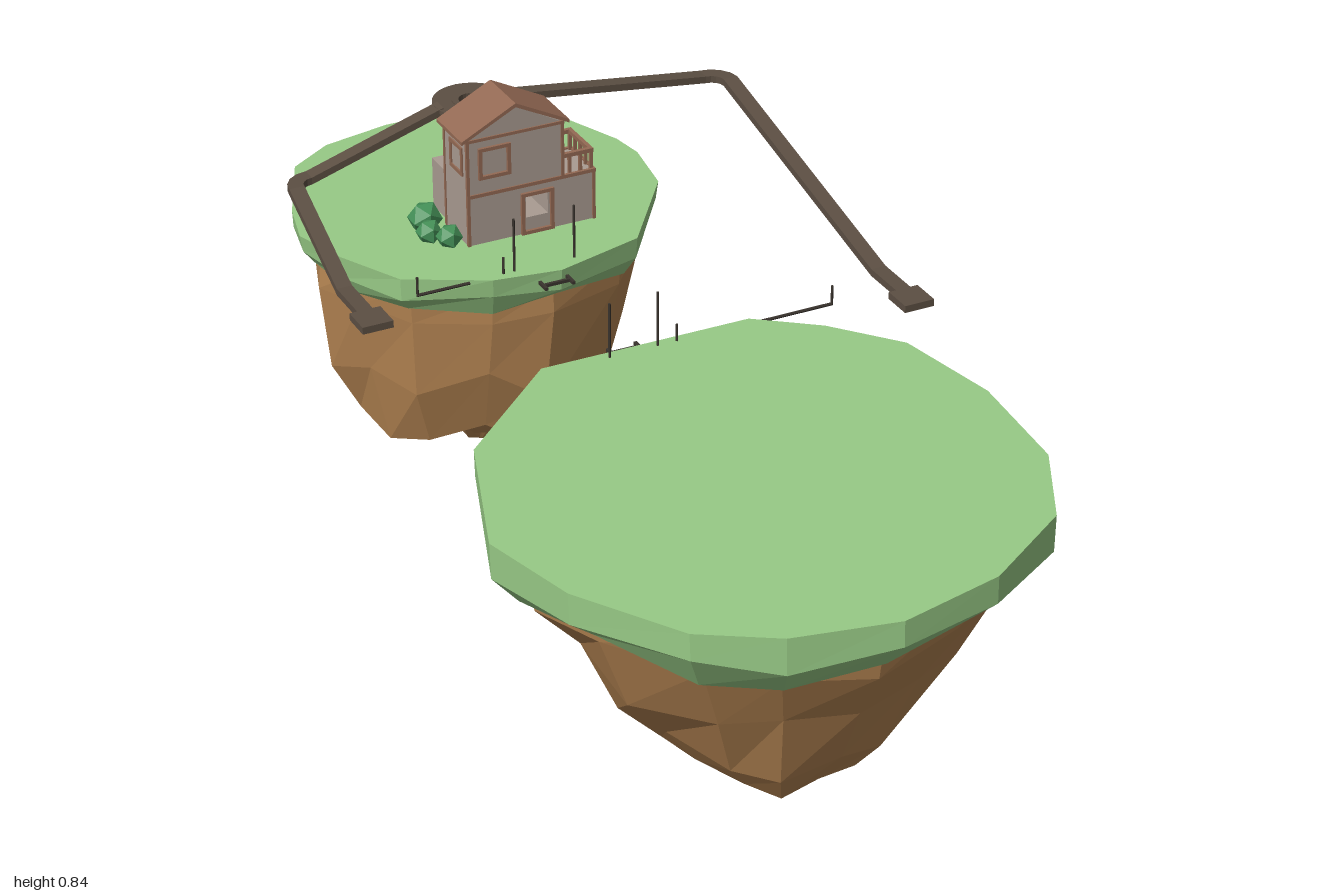
import * as THREE from 'three';

const mat = (color, flatShading = true) => new THREE.MeshStandardMaterial({ color, flatShading });
const GRASS = mat(0x98ca86), ROCK = mat(0xb48452), WALL = mat(0xaa9c92), WOOD = mat(0x946a54);
const METAL = mat(0x5c4f43), POST = mat(0x3a342e), LEAF = mat(0x459158);
const GROUND = 0.57;

function add(parent, name, geometry, material, x = 0, y = 0, z = 0) {
  const mesh = new THREE.Mesh(geometry, material);
  mesh.name = name;
  mesh.position.set(x, y, z);
  parent.add(mesh);
  return mesh;
}

// Box given by its two opposite corners
function block(parent, name, material, [x0, y0, z0], [x1, y1, z1]) {
  return add(parent, name, new THREE.BoxGeometry(x1 - x0, y1 - y0, z1 - z0), material,
    (x0 + x1) / 2, (y0 + y1) / 2, (z0 + z1) / 2);
}

// Closed faceted skin over cross-sections with equal point counts
function loft(rings) {
  const out = [];
  const tri = (...pts) => pts.forEach(p => out.push(p.x, p.y, p.z));
  const middle = ring => ring.reduce((s, p) => s.add(p), new THREE.Vector3()).divideScalar(ring.length);
  const first = rings[0], last = rings[rings.length - 1], n = first.length;
  const c0 = middle(first), c1 = middle(last);
  for (let i = 0; i < n; i++) {
    const j = (i + 1) % n;
    tri(c0, first[j], first[i]);
    tri(c1, last[i], last[j]);
    for (let r = 0; r + 1 < rings.length; r++) {
      const a = rings[r], b = rings[r + 1];
      tri(a[i], a[j], b[j]);
      tri(a[i], b[j], b[i]);
    }
  }
  const g = new THREE.BufferGeometry();
  g.setAttribute('position', new THREE.Float32BufferAttribute(out, 3));
  g.computeVertexNormals();
  return g;
}

function seeded(seed) {
  return () => (seed = (seed * 16807) % 2147483647) / 2147483647 - 0.5;
}

// Floating island; each layer is [y, x scale, z scale, height jitter, width jitter, x shift, z shift, lobe depth]
function island(name, outline, cx, cz, lobes, grassLayers, rockLayers, seed) {
  const group = new THREE.Group();
  group.name = name;
  const rnd = seeded(seed);
  const rings = layers => layers.map(([y, sx, sz, jy = 0, jr = 0, dx = 0, dz = 0, lobe = 0]) =>
    outline.map(([x, z], i) => {
      const k = 1 + jr * rnd() * 2;
      const wave = Math.cos((i / outline.length) * lobes * Math.PI * 2);
      return new THREE.Vector3(cx + dx + (x - cx) * k * sx, y + jy * rnd() - lobe * wave, cz + dz + (z - cz) * k * sz);
    }));
  add(group, 'grass', loft(rings(grassLayers)), GRASS);
  add(group, 'rock', loft(rings(rockLayers)), ROCK);
  return group;
}

// Flat-sectioned chute following a path
function chute(parent, points) {
  const up = new THREE.Vector3(0, 1, 0), P = points.map(p => new THREE.Vector3(...p));
  const rings = P.map((p, i) => {
    const t = P[Math.min(i + 1, P.length - 1)].clone().sub(P[Math.max(i - 1, 0)]).setY(0).normalize();
    const s = t.cross(up);
    return [[-1, 1], [1, 1], [1, -1], [-1, -1]].map(([a, b]) =>
      p.clone().addScaledVector(s, a * 0.015).addScaledVector(up, b * 0.007));
  });
  add(parent, 'chute', loft(rings), METAL);
  const end = P[P.length - 1];
  add(parent, 'chuteEnd', new THREE.BoxGeometry(0.06, 0.014, 0.06), METAL, end.x, end.y, end.z - 0.01);
}

// Horizontal quarter bend from the x direction to +z
function bend(side, x, y, z, r) {
  return [0, 1, 2, 3, 4].map(i => {
    const a = i * Math.PI / 8;
    return [x - side * r + side * r * Math.sin(a), y, z + r - r * Math.cos(a)];
  });
}

function polygon(pts) {
  return new THREE.Shape(pts.map(p => new THREE.Vector2(...p)));
}
function extrude(shape, depth) {
  return new THREE.ExtrudeGeometry(shape, { depth, bevelEnabled: false });
}

// Rectangular frame facing z
function frame(parent, name, x0, y0, x1, y1, z, t = 0.007) {
  const s = polygon([[x0, y0], [x1, y0], [x1, y1], [x0, y1]]);
  s.holes.push(polygon([[x0 + t, y0 + t], [x0 + t, y1 - t], [x1 - t, y1 - t], [x1 - t, y0 + t]]));
  return add(parent, name, extrude(s, 0.006), WOOD, 0, 0, z);
}

function house() {
  const g = new THREE.Group();
  g.name = 'house';
  const F = -0.46, M = -0.56, B = -0.64, FLOOR = 0.672;

  // Ground floor and rear annex, with a window running right through
  const lower = (name, x0, x1, z0, z1) => {
    const s = polygon([[x0, GROUND], [x1, GROUND], [x1, FLOOR], [x0, FLOOR]]);
    s.holes.push(polygon([[-0.017, 0.603], [-0.017, 0.648], [0.028, 0.648], [0.028, 0.603]]));
    add(g, name, extrude(s, z1 - z0), WALL, 0, 0, z0);
  };
  lower('groundFloor', -0.135, 0.125, M, F);
  lower('rearAnnex', -0.127, 0.058, B, M);

  // Upper floor and gabled roof
  add(g, 'upperFloor', extrude(polygon([[-0.135, FLOOR], [0.06, FLOOR], [0.06, 0.785],
    [-0.037, 0.838], [-0.135, 0.785]]), F - M), WALL, 0, 0, M);
  add(g, 'roof', extrude(polygon([[-0.147, 0.783], [-0.037, 0.838], [0.072, 0.783], [0.072, 0.79],
    [-0.037, 0.846], [-0.147, 0.79]]), 0.112), WOOD, 0, 0, M - 0.006);

  // Timber edging
  for (const z of [F, M]) {
    block(g, 'floorBeam', WOOD, [-0.137, FLOOR - 0.004, z - 0.003], [0.127, FLOOR + 0.003, z + 0.003]);
    block(g, 'eaveBeam', WOOD, [-0.138, 0.782, z - 0.003], [0.063, 0.788, z + 0.003]);
    for (const [x, top] of [[-0.134, 0.785], [0.059, 0.785], [0.123, FLOOR]])
      block(g, 'cornerPost', WOOD, [x - 0.003, x === 0.059 ? FLOOR : GROUND, z - 0.003], [x + 0.003, top, z + 0.003]);
  }
  block(g, 'balconyEdge', WOOD, [0.121, FLOOR - 0.004, M], [0.127, FLOOR + 0.003, F]);

  // Windows and door
  frame(g, 'upperWindow', -0.113, 0.704, -0.048, 0.768, F);
  frame(g, 'doorFrame', -0.028, GROUND, 0.039, 0.656, F);
  frame(g, 'rearWindow', -0.024, 0.596, 0.035, 0.655, B - 0.006);
  for (const x of [-0.135, 0.06]) {
    const w = frame(g, 'sideWindow', -0.028, 0.708, 0.028, 0.766, 0);
    w.rotation.y = Math.PI / 2;
    w.position.set(x - 0.003, 0, -0.505);
  }

  // Balcony railing
  const rail = (x, z) => block(g, 'baluster', WOOD, [x - 0.003, FLOOR, z - 0.003], [x + 0.003, 0.71, z + 0.003]);
  for (const x of [0.076, 0.098, 0.12]) { rail(x, F - 0.005); rail(x, M + 0.005); }
  for (let i = 1; i < 4; i++) rail(0.12, F - 0.005 - i * 0.0225);
  for (const z of [F - 0.005, M + 0.005])
    block(g, 'handrail', WOOD, [0.06, 0.708, z - 0.004], [0.124, 0.716, z + 0.004]);
  block(g, 'handrail', WOOD, [0.116, 0.708, M + 0.005], [0.124, 0.716, F - 0.005]);
  return g;
}

// Bridge posts at an island edge; a low rod runs along the ground to the last post
function bridgeEnd(name, z, bracketZ, tall, short, rodStart, rodEnd) {
  const g = new THREE.Group();
  g.name = name;
  const post = (x, y0, y1) => add(g, 'post', new THREE.CylinderGeometry(0.0024, 0.0024, y1 - y0, 6), POST, x, (y0 + y1) / 2, z);
  tall.forEach(x => post(x, 0.55, 0.678));
  [short, rodEnd].forEach(x => post(x, 0.565, 0.604));
  const rod = add(g, 'rod', new THREE.CylinderGeometry(0.003, 0.003, Math.abs(rodEnd - rodStart), 6), POST,
    (rodStart + rodEnd) / 2, GROUND - 0.003, z);
  rod.rotation.z = Math.PI / 2;
  block(g, 'bracketBar', POST, [-0.065, 0.552, bracketZ - 0.003], [-0.01, 0.558, bracketZ + 0.003]);
  for (const x of [-0.065, -0.01])
    block(g, 'bracketArm', POST, [x - 0.003, 0.552, bracketZ - 0.015], [x + 0.003, 0.558, bracketZ + 0.015]);
  return g;
}

export function createModel() {
  const root = new THREE.Group();
  root.name = 'floatingIslands';

  root.add(island('largeIsland',
    [[-0.21, 0.012], [0.2, 0.016], [0.31, 0.1], [0.41, 0.22], [0.45, 0.43], [0.43, 0.66], [0.34, 0.83], [0.16, 0.945],
      [-0.04, 0.99], [-0.23, 0.95], [-0.36, 0.87], [-0.48, 0.68], [-0.53, 0.49], [-0.43, 0.21]], -0.04, 0.5, 3,
    [[GROUND, 1, 1], [0.507, 0.995, 1.005, 0.03], [0.46, 0.885, 0.9, 0.045, 0.015]],
    [[0.5, 0.87, 0.88], [0.43, 0.84, 0.855, 0.03, 0.015], [0.3, 0.69, 0.755, 0.06, 0.04],
      [0.17, 0.52, 0.62, 0.06, 0.05, 0, -0.005], [0.09, 0.36, 0.52, 0.035, 0.06, -0.005, 0],
      [0.05, 0.2, 0.32, 0.03, 0.06, -0.01, 0.01, 0.012], [0.003, 0.025, 0.06, 0, 0, -0.01, 0.05]], 41));

  root.add(island('smallIsland',
    [[-0.21, -0.97], [-0.07, -1], [0.03, -1], [0.15, -0.97], [0.25, -0.89], [0.31, -0.74], [0.32, -0.67], [0.3, -0.54],
      [0.16, -0.35], [-0.02, -0.3], [-0.15, -0.32], [-0.3, -0.4], [-0.365, -0.53], [-0.4, -0.64], [-0.375, -0.74],
      [-0.3, -0.91]], -0.04, -0.65, 4,
    [[GROUND, 1, 1], [0.53, 0.99, 0.995, 0.015, 0.01], [0.5, 0.92, 0.93, 0.035, 0.015]],
    [[0.52, 0.89, 0.9], [0.46, 0.89, 0.9, 0.02, 0.02], [0.3, 0.8, 0.83, 0.07, 0.04, -0.01, 0, 0.02],
      [0.17, 0.63, 0.66, 0.03, 0.05, -0.02, 0.015, 0.03], [0.135, 0.4, 0.42, 0.03, 0.05, -0.01, 0.015, 0.03],
      [0.12, 0.25, 0.24, 0.02, 0.05, 0, 0.01, -0.015], [0.07, 0.1, 0.1, 0.01, 0, 0, 0.01, 0.015],
      [0.04, 0.03, 0.03, 0, 0, 0, 0.01]], 97));

  root.add(house());

  // Hub ring and the two chutes leading from it
  const hub = new THREE.Group();
  hub.name = 'chuteSystem';
  const ring = (r0, r1, h) => new THREE.LatheGeometry(
    [[r0, -h], [r1, -h], [r1, h], [r0, h], [r0, -h]].map(p => new THREE.Vector2(...p)), 24);
  add(hub, 'hubRing', ring(0.035, 0.074, 0.004), METAL, -0.037, 0.763, -0.655);
  add(hub, 'hubCollar', ring(0.024, 0.037, 0.006), METAL, -0.037, 0.763, -0.655);
  block(hub, 'hubSpoke', METAL, [-0.065, 0.759, -0.658], [-0.009, 0.763, -0.652]);
  add(hub, 'hubAxle', new THREE.CylinderGeometry(0.01, 0.01, 0.008, 12), METAL, -0.037, 0.763, -0.655);
  chute(hub, [[-0.1, 0.763, -0.655], ...bend(-1, -0.41, 0.678, -0.655, 0.04), [-0.41, 0.574, -0.4], [-0.41, 0.574, -0.265]]);
  chute(hub, [[0.026, 0.763, -0.655], ...bend(1, 0.494, 0.709, -0.655, 0.04), [0.494, 0.574, -0.03], [0.494, 0.574, 0.1]]);
  root.add(hub);

  // Bushes
  for (const [x, z, r] of [[-0.175, -0.57, 0.034], [-0.188, -0.522, 0.026], [-0.162, -0.488, 0.026]])
    add(root, 'bush', new THREE.IcosahedronGeometry(r, 0), LEAF, x, GROUND + r * 0.55, z);

  // Bridge ends
  root.add(bridgeEnd('nearBridgeEnd', 0.03, -0.005, [-0.085, 0.01], 0.048, 0.2, 0.363));
  root.add(bridgeEnd('farBridgeEnd', -0.335, -0.285, [-0.1, 0.022], -0.122, -0.19, -0.294));
  return root;
}
